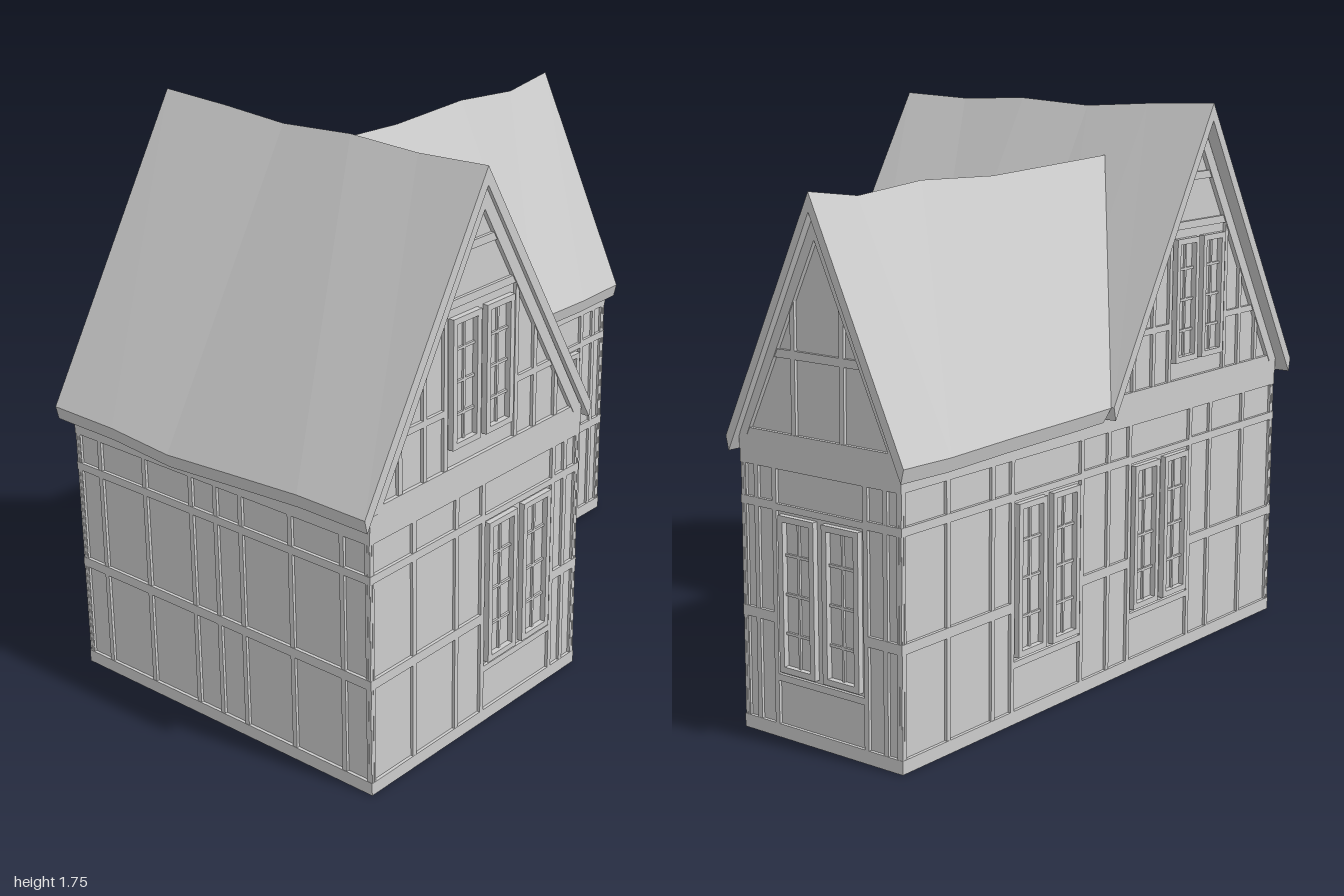
import * as THREE from 'three';

const mat = new THREE.MeshStandardMaterial({ color: 0xcccccc, flatShading: true, side: THREE.DoubleSide });

function mesh(geometry, name, parent) {
  const m = new THREE.Mesh(geometry, mat);
  m.name = name;
  parent.add(m);
  return m;
}

// Beam filling a rectangle of a wall; its outer face stands at z = out
function timber(parent, name, u0, u1, y0, y1, out = 0) {
  const m = mesh(new THREE.BoxGeometry(u1 - u0, y1 - y0, 0.02 + out), name, parent);
  m.position.set((u0 + u1) / 2, (y0 + y1) / 2, (out - 0.02) / 2);
}

function panel(parent, name, points) {
  const shape = new THREE.Shape(points.map(p => new THREE.Vector2(...p)));
  mesh(new THREE.ShapeGeometry(shape), name, parent).position.z = -0.01;
}

// Pair of tall casements with glazing bars, centred on u
function windowPair(parent, u, y0, y1, w = 0.135, gap = 0.03) {
  const g = new THREE.Group();
  g.name = 'windowPair';
  parent.add(g);
  for (const s of [-1, 1]) {
    const c = u + s * (w + gap) / 2, a = c - w / 2, b = c + w / 2, t = 0.018;
    timber(g, 'windowJamb', a, a + t, y0, y1, 0.008);
    timber(g, 'windowJamb', b - t, b, y0, y1, 0.008);
    timber(g, 'windowSill', a + t, b - t, y0, y0 + t, 0.008);
    timber(g, 'windowHead', a + t, b - t, y1 - t, y1, 0.008);
    timber(g, 'glazingBar', c - 0.004, c + 0.004, y0 + t, y1 - t, -0.003);
    for (let i = 1; i < 4; i++) {
      const y = y0 + (y1 - y0) * i / 4;
      timber(g, 'glazingBar', a + t, b - t, y - 0.004, y + 0.004, -0.003);
    }
  }
}

// Timber-framed wall running along local x from 0 to length, facing local +z
function wall(root, name, x, z, turn, length, studs, windows = []) {
  const g = new THREE.Group();
  g.name = name;
  g.position.set(x, 0, z);
  g.rotation.y = turn * Math.PI / 2;
  root.add(g);
  panel(g, 'wallPanel', [[0, 0], [length, 0], [length, 0.86], [0, 0.86]]);
  timber(g, 'sillBeam', 0, length, 0, 0.04);
  timber(g, 'topBeam', 0, length, 0.79, 0.86);
  for (const u of [0.01, ...studs, length - 0.01]) {
    timber(g, 'stud', u - 0.008, u + 0.008, 0.04, 0.79, -0.001);
  }
  // middle rails stop on either side of each window
  for (const [y0, y1] of [[0.34, 0.37], [0.67, 0.695]]) {
    let start = 0;
    for (const u of windows) {
      timber(g, 'rail', start, u - 0.17, y0, y1);
      start = u + 0.17;
    }
    timber(g, 'rail', start, length, y0, y1);
  }
  for (const u of windows) {
    timber(g, 'windowPost', u - 0.178, u - 0.162, 0.04, 0.79);
    timber(g, 'windowPost', u + 0.162, u + 0.178, 0.04, 0.79);
    timber(g, 'lintel', u - 0.162, u + 0.162, 0.67, 0.69);
    timber(g, 'windowLedge', u - 0.162, u + 0.162, 0.17, 0.19);
    windowPair(g, u, 0.2, 0.66);
  }
}

// Triangular gable, centred on local x = 0
function gable(root, name, x, z, turn, half, apex, studs, collars, hasWindow) {
  const g = new THREE.Group();
  g.name = name;
  g.position.set(x, 0, z);
  g.rotation.y = turn * Math.PI / 2;
  root.add(g);
  const base = 0.875, slope = (apex - base) / half;
  const widthAt = y => (apex - y) / slope;
  panel(g, 'gablePanel', [[-half, 0.83], [half, 0.83], [half, base], [0, apex], [-half, base]]);
  timber(g, 'gableBeam', -half, half, 0.83, 0.895, 0.002);
  for (const s of [-1, 1]) {
    // sloping rafter under the roof edge
    const rafter = new THREE.Shape([[s * half, base], [0, apex], [0, apex - 0.07], [s * (half - 0.07 / slope), base]]
      .map(p => new THREE.Vector2(...p)));
    mesh(new THREE.ExtrudeGeometry(rafter, { depth: 0.024, bevelEnabled: false }), 'rafter', g).position.z = -0.02;
    for (const d of studs) {
      timber(g, 'gableStud', s * d - 0.008, s * d + 0.008, 0.895, apex - d * slope - 0.04);
    }
  }
  for (const y of collars) {
    const w = widthAt(y) - 0.02;
    timber(g, 'collar', -w, w, y - 0.012, y + 0.012);
  }
  if (hasWindow) {
    windowPair(g, 0, 0.95, 1.34, 0.125, 0.025);
    // short side rails between window and rafters
    for (const s of [-1, 1]) {
      timber(g, 'sideRail', Math.min(s * 0.16, s * 0.36), Math.max(s * 0.16, s * 0.36), 1.06, 1.08);
    }
  }
}

// Roof slab swept through chevron sections: [along, eave height, ridge height, shear]
function roof(root, name, half, sections, place) {
  const rings = sections.map(([t, eave, ridge]) => [
    [-half, eave], [0, ridge], [half, eave],
    [half - 0.01, eave - 0.042], [0, ridge - 0.055], [-half + 0.01, eave - 0.042],
  ].map(([a, y]) => place(a, y, t)));
  const pos = [];
  const quad = (a, b, c, d) => pos.push(...a, ...b, ...c, ...a, ...c, ...d);
  for (let i = 0; i + 1 < rings.length; i++) {
    for (let k = 0; k < 6; k++) {
      const n = (k + 1) % 6;
      quad(rings[i][k], rings[i][n], rings[i + 1][n], rings[i + 1][k]);
    }
  }
  // end caps
  const f = rings[0], l = rings[rings.length - 1];
  quad(f[0], f[5], f[4], f[1]);
  quad(f[1], f[4], f[3], f[2]);
  quad(l[0], l[1], l[4], l[5]);
  quad(l[1], l[2], l[3], l[4]);
  const geo = new THREE.BufferGeometry();
  geo.setAttribute('position', new THREE.Float32BufferAttribute(pos, 3));
  geo.computeVertexNormals();
  mesh(geo, name, root);
}

export function createModel() {
  const root = new THREE.Group();
  root.name = 'timberFramedHouse';

  // Walls of the main block
  wall(root, 'frontWall', -0.58, 0.96, 0, 1.18, [0.104, 0.296, 0.49, 0.59, 0.69, 0.883, 1.076]);
  wall(root, 'mainLeftWall', 0.6, 0.96, 1, 0.97, [0.19, 0.38, 0.9], [0.67]);
  wall(root, 'mainBackWall', 0.6, -0.01, 2, 0.58, [0.19, 0.38]);

  // Long wall shared by main block and wing
  wall(root, 'longRightWall', -0.58, -0.975, -1, 1.935, [0.2, 0.4, 0.97, 1.54, 1.74], [0.66, 1.25]);

  // Walls of the rear wing
  wall(root, 'wingLeftWall', 0.02, -0.01, 1, 0.965, [0.12, 0.26, 0.38, 0.9], [0.66]);
  wall(root, 'wingBackWall', 0.02, -0.975, 2, 0.6, [0.06, 0.54], [0.3]);

  // Gables
  gable(root, 'mainLeftGable', 0.6, 0.475, 1, 0.485, 1.69, [0.16, 0.25, 0.355], [1.38, 1.53], true);
  gable(root, 'mainRightGable', -0.58, 0.475, -1, 0.485, 1.69, [0.16, 0.25, 0.355], [1.38, 1.53], true);
  gable(root, 'wingGable', -0.28, -0.975, 2, 0.3, 1.515, [0.09], [1.12], false);

  // Main roof, ridge along x, gently sagging
  roof(root, 'mainRoof', 0.52, [
    [-0.62, 0.877, 1.755], [-0.373, 0.875, 1.745], [-0.14, 0.857, 1.73],
    [0.121, 0.872, 1.745], [0.368, 0.885, 1.735], [0.615, 0.883, 1.745],
  ], (a, y, t) => [t, y, 0.475 + a]);

  // Wing roof, ridge along z, cut to the slope of the main roof at its inner end
  roof(root, 'wingRoof', 0.33, [
    [-1, 0.866, 1.577], [-0.8, 0.862, 1.55], [-0.53, 0.868, 1.572],
    [-0.2, 0.872, 1.56], ['valley', 0.875, 1.583],
  ], (a, y, t) => [-0.28 + a, y, t === 'valley' ? -0.045 + (y - 0.875) / 1.68 : t]);

  return root;
}
